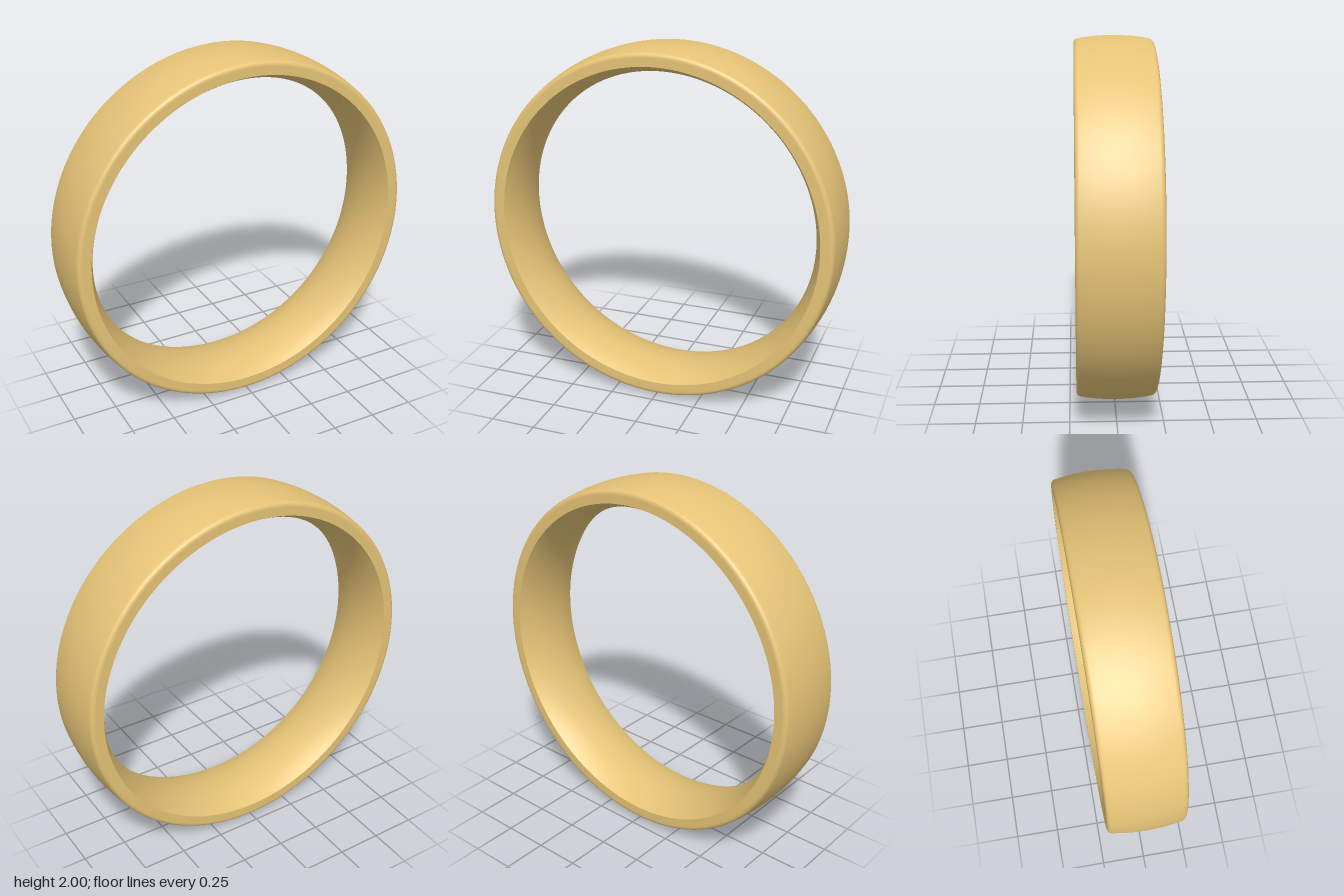
import * as THREE from 'three';

const HALF = 0.213;      // half of the band width
const SEGMENTS = 160;
const STEPS = 24;

const outerRadius = (z) => 1 - (z * z) / 2.2;                        // gently domed outside
const innerRadius = (z) => 0.855 + 0.44 - Math.sqrt(0.44 ** 2 - z * z); // comfort-fit inside

export function createModel() {
  const ring = new THREE.Group();
  ring.name = 'ring';
  const gold = new THREE.MeshStandardMaterial({ color: 0xe6c477 });

  const addLathe = (name, points) => {
    const geometry = new THREE.LatheGeometry(points, SEGMENTS);
    geometry.rotateX(Math.PI / 2);
    const mesh = new THREE.Mesh(geometry, gold);
    mesh.name = name;
    mesh.position.y = 1;
    ring.add(mesh);
  };

  // Rounded shoulder from the flat side face to the dome
  const zDome = 0.19;
  const shoulder = new THREE.QuadraticBezierCurve(
    new THREE.Vector2(0.955, HALF),
    new THREE.Vector2(outerRadius(HALF), HALF),
    new THREE.Vector2(outerRadius(zDome), zDome)
  ).getPoints(8);

  // Outer shell: side face, shoulder, dome, shoulder, side face
  const rim = new THREE.Vector2(innerRadius(HALF), HALF);
  const top = [rim, ...shoulder];
  const outer = top.map((p) => new THREE.Vector2(p.x, -p.y));
  for (let i = 1; i < STEPS; i++) {
    const z = zDome * (2 * i / STEPS - 1);
    outer.push(new THREE.Vector2(outerRadius(z), z));
  }
  outer.push(...top.slice().reverse());
  addLathe('outerBand', outer);

  // Inner surface, bulging toward the finger, with a crisp edge at the rim
  const inner = [];
  for (let i = 0; i <= STEPS; i++) {
    const z = HALF * (1 - 2 * i / STEPS);
    inner.push(new THREE.Vector2(innerRadius(z), z));
  }
  addLathe('innerBand', inner);

  return ring;
}
